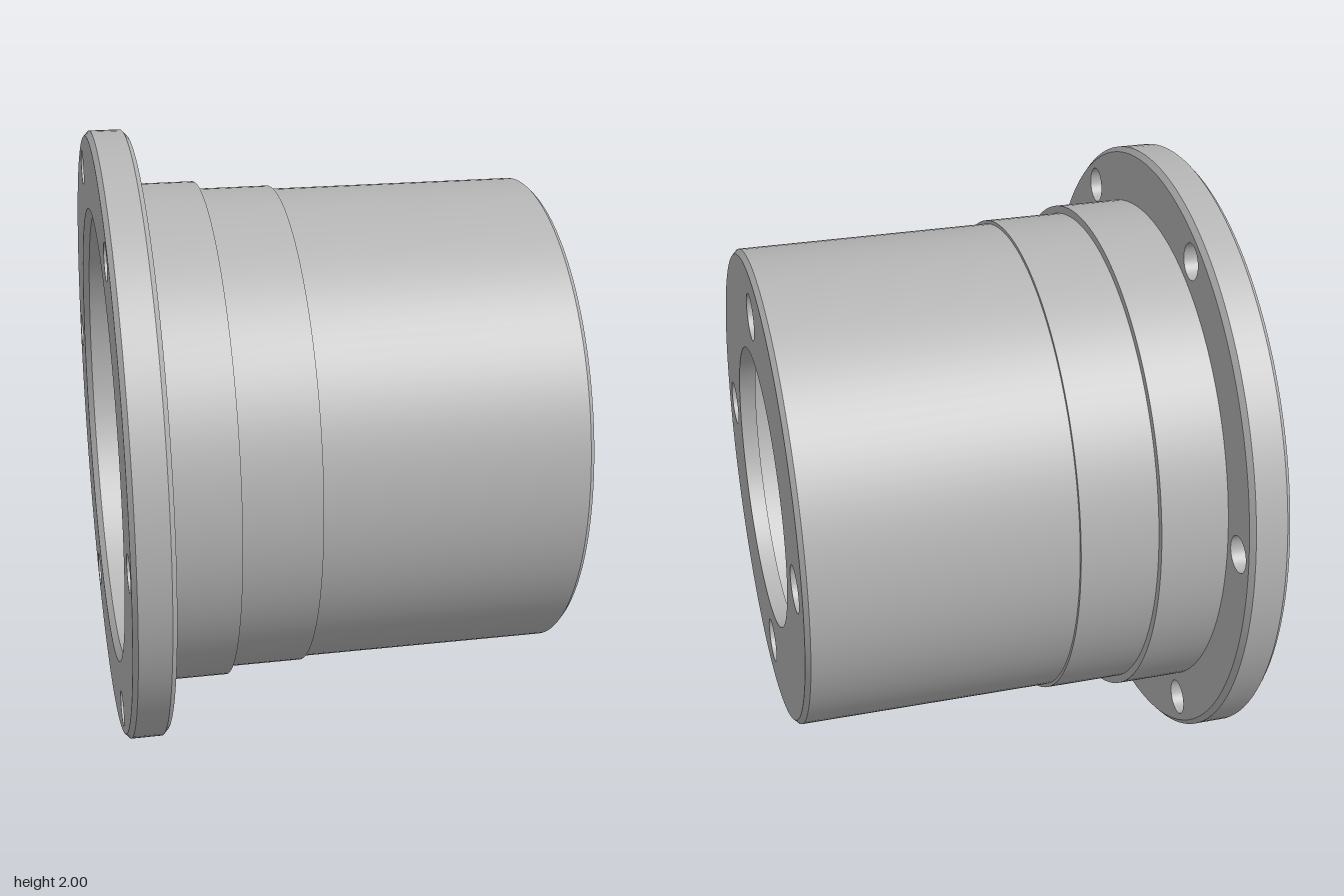
import * as THREE from 'three';
import { mergeGeometries } from 'three/addons/utils/BufferGeometryUtils.js';

const SEG = 128;

// Revolves a profile of [x, radius] points about the x axis, with a sharp edge at each point
function revolve(profile, seg = SEG) {
  const bands = [];
  for (let i = 0; i < profile.length - 1; i++) {
    const pts = [profile[i], profile[i + 1]].map(([x, r]) => new THREE.Vector2(r, x));
    bands.push(new THREE.LatheGeometry(pts, seg).rotateZ(-Math.PI / 2));
  }
  return mergeGeometries(bands);
}

// Evenly spaced bolt hole centres as [z, y]
function boltCircle(count, radius, startDeg) {
  return Array.from({ length: count }, (_, i) => {
    const a = THREE.MathUtils.degToRad(startDeg) + (i * 2 * Math.PI) / count;
    return [radius * Math.cos(a), radius * Math.sin(a)];
  });
}

// Flat ring at x, facing dir (+1 or -1) along x, pierced by round holes
function ringFace(x, dir, outer, inner, holes, holeR) {
  const shape = new THREE.Shape().absarc(0, 0, outer, 0, Math.PI * 2);
  shape.holes.push(new THREE.Path().absarc(0, 0, inner, 0, Math.PI * 2, true));
  for (const [z, y] of holes) {
    shape.holes.push(new THREE.Path().absarc(-dir * z, y, holeR, 0, Math.PI * 2, true));
  }
  return new THREE.ShapeGeometry(shape, SEG / 2).rotateY((dir * Math.PI) / 2).translate(x, 0, 0);
}

// Inward-facing walls of the holes between x0 and x1
function holeWalls(x0, x1, holes, r) {
  return mergeGeometries(holes.map(([z, y]) => revolve([[x1, r], [x0, r]], 40).translate(0, y, z)));
}

export function createModel() {
  const steel = new THREE.MeshStandardMaterial({ color: 0xb4b4b4 });
  steel.name = 'grey steel';
  const group = new THREE.Group();
  group.name = 'flangedSleeve';
  const add = (name, geometry) => {
    const mesh = new THREE.Mesh(geometry, steel);
    mesh.name = name;
    mesh.position.y = 1;
    group.add(mesh);
  };

  const flangeHoles = boltCircle(6, 0.904, -5.1);
  const endHoles = boltCircle(4, 0.62, 0);

  // Mounting flange with chamfered rim
  add('flangeRim', revolve([[-0.72, 0.984], [-0.705, 1], [-0.605, 1], [-0.59, 0.984]]));
  add('flangeOuterFace', ringFace(-0.72, -1, 0.984, 0.75, flangeHoles, 0.058));
  add('flangeInnerFace', ringFace(-0.59, 1, 0.984, 0.823, flangeHoles, 0.058));
  add('flangeBoltHoles', holeWalls(-0.72, -0.59, flangeHoles, 0.058));

  // Stepped sleeve
  add('collar', revolve([[-0.59, 0.823], [-0.375, 0.823], [-0.375, 0.798]]));
  add('shoulder', revolve([[-0.375, 0.798], [-0.127, 0.798], [-0.127, 0.787]]));
  add('barrel', revolve([[-0.127, 0.787], [0.705, 0.787], [0.72, 0.772]]));

  // End wall with central opening
  add('endOuterFace', ringFace(0.72, 1, 0.772, 0.467, endHoles, 0.075));
  add('endInnerFace', ringFace(0.665, -1, 0.73, 0.467, endHoles, 0.075));
  add('endOpening', revolve([[0.72, 0.467], [0.665, 0.467]]));
  add('endBoltHoles', holeWalls(0.665, 0.72, endHoles, 0.075));

  // Bore with chamfered mouth
  add('bore', revolve([[0.665, 0.73], [-0.7, 0.73], [-0.72, 0.75]]));

  return group;
}
